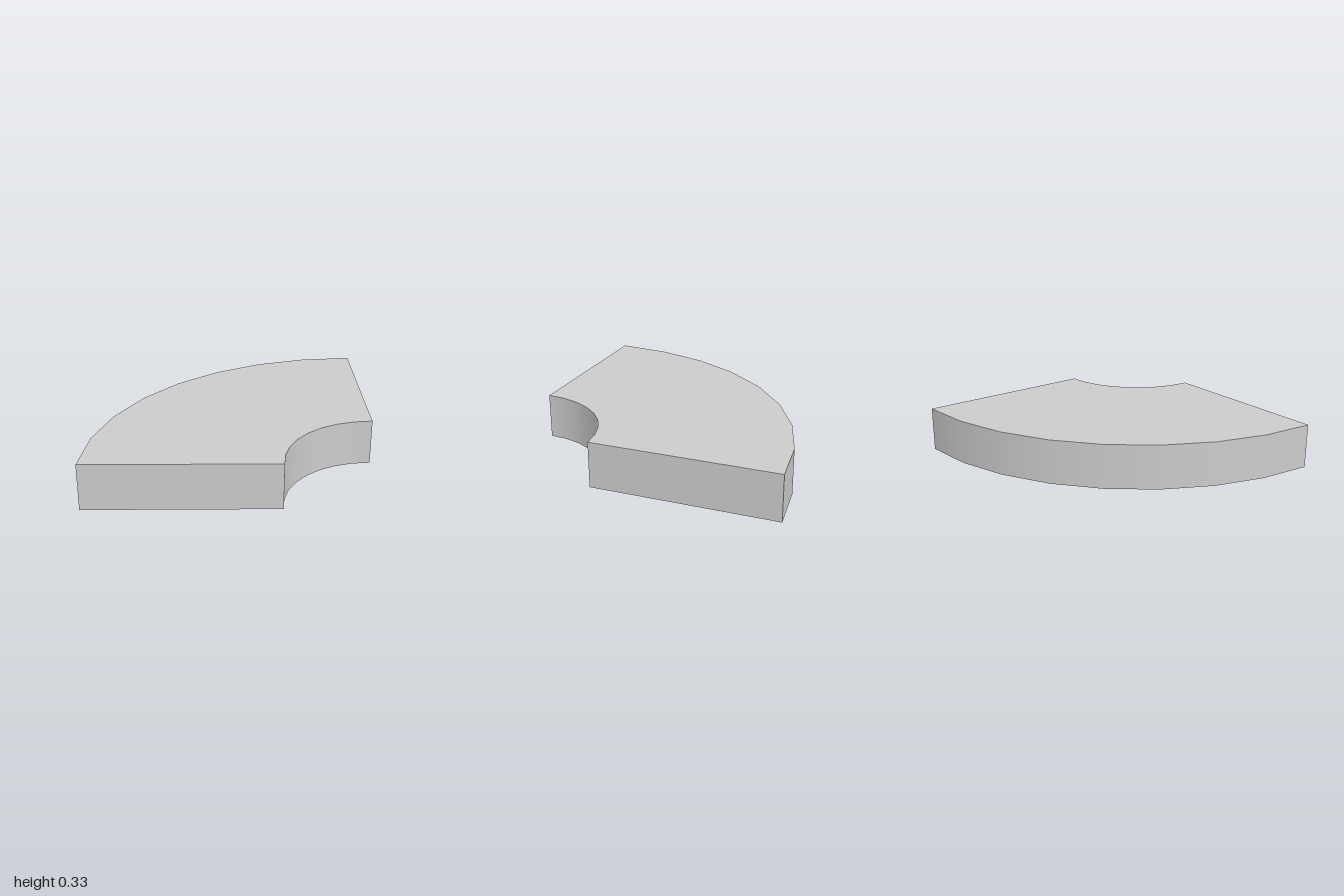
import * as THREE from 'three';

const H = 0.33, CX = 1, CZ = 1, R_OUT = 2, R_IN = 0.667, SEGS = 8;

// A corner of a block: plan position at the top and the bottom; curve is +1 / -1 on the outer / inner arc.
const corner = (xt, zt, xb = xt, zb = zt, curve = 0) => ({
  top: new THREE.Vector2(xt, zt), bottom: new THREE.Vector2(xb, zb), curve,
});

// Corners along an arc, from step a to step b of the quarter circle.
function arc(radius, a, b, curve) {
  const points = [], step = Math.sign(b - a);
  for (let k = a; k !== b + step; k += step) {
    const t = (k / SEGS) * Math.PI / 2;
    const x = CX - radius * Math.sin(t), z = CZ - radius * Math.cos(t);
    points.push(corner(x, z, x, z, curve));
  }
  return points;
}

// A block between its top and bottom outlines, with smooth curved walls and flat joints.
function block(name, corners, material) {
  if (!THREE.ShapeUtils.isClockWise(corners.map(c => c.top))) corners = corners.slice().reverse();
  const pos = [], curved = [];
  const put = (p, y, curve = 0) => { pos.push(p.x, y, p.y); curved.push(curve); };

  for (const [key, y] of [['top', H], ['bottom', 0]]) {
    const outline = corners.map(c => c[key]);
    for (const [i, j, k] of THREE.ShapeUtils.triangulateShape(outline.slice(), [])) {
      const tri = [outline[i], outline[j], outline[k]];
      const facesUp = THREE.ShapeUtils.area(tri) < 0;
      if (facesUp !== (key === 'top')) tri.reverse();
      tri.forEach(p => put(p, y));
    }
  }
  corners.forEach((a, i) => {
    const b = corners[(i + 1) % corners.length];
    const curve = a.curve === b.curve ? a.curve : 0;
    put(a.bottom, 0, curve); put(b.bottom, 0, curve); put(b.top, H, curve);
    put(a.bottom, 0, curve); put(b.top, H, curve); put(a.top, H, curve);
  });

  const geometry = new THREE.BufferGeometry();
  geometry.setAttribute('position', new THREE.Float32BufferAttribute(pos, 3));
  geometry.computeVertexNormals();
  const n = new THREE.Vector3();
  curved.forEach((curve, i) => {
    if (!curve) return;
    n.set(pos[3 * i] - CX, 0, pos[3 * i + 2] - CZ).normalize().multiplyScalar(curve);
    geometry.attributes.normal.setXYZ(i, n.x, n.y, n.z);
  });
  const mesh = new THREE.Mesh(geometry, material);
  mesh.name = name;
  return mesh;
}

export function createModel() {
  const group = new THREE.Group();
  group.name = 'curvedStoneSlab';
  const material = new THREE.MeshStandardMaterial({ color: 0xcccccc });

  // Ends and meeting points of the slanted joints
  const sideEnd = corner(1, 0.135, 1, 0.25);
  const frontEnd = corner(0.155, 1, 0.25, 1);
  const meetBack = corner(0.35, -0.155, 0.4, 0);
  const meetFront = corner(-0.085, 0.535, 0.03, 0.585);
  const rimBack = corner(0.131, -0.792, 0.131, -0.792, 1);
  const rimFront = corner(-0.901, 0.41, -0.901, 0.41, 1);

  group.add(
    block('backStone', [sideEnd, meetBack, rimBack, ...arc(R_OUT, 2, 0, 1)], material),
    block('outerStone', [meetBack, meetFront, rimFront, ...arc(R_OUT, 6, 3, 1), rimBack], material),
    block('frontStone', [meetFront, frontEnd, ...arc(R_OUT, 8, 7, 1), rimFront], material),
    block('innerStone', [sideEnd, meetBack, meetFront, frontEnd, ...arc(R_IN, 8, 0, -1)], material),
  );
  return group;
}
